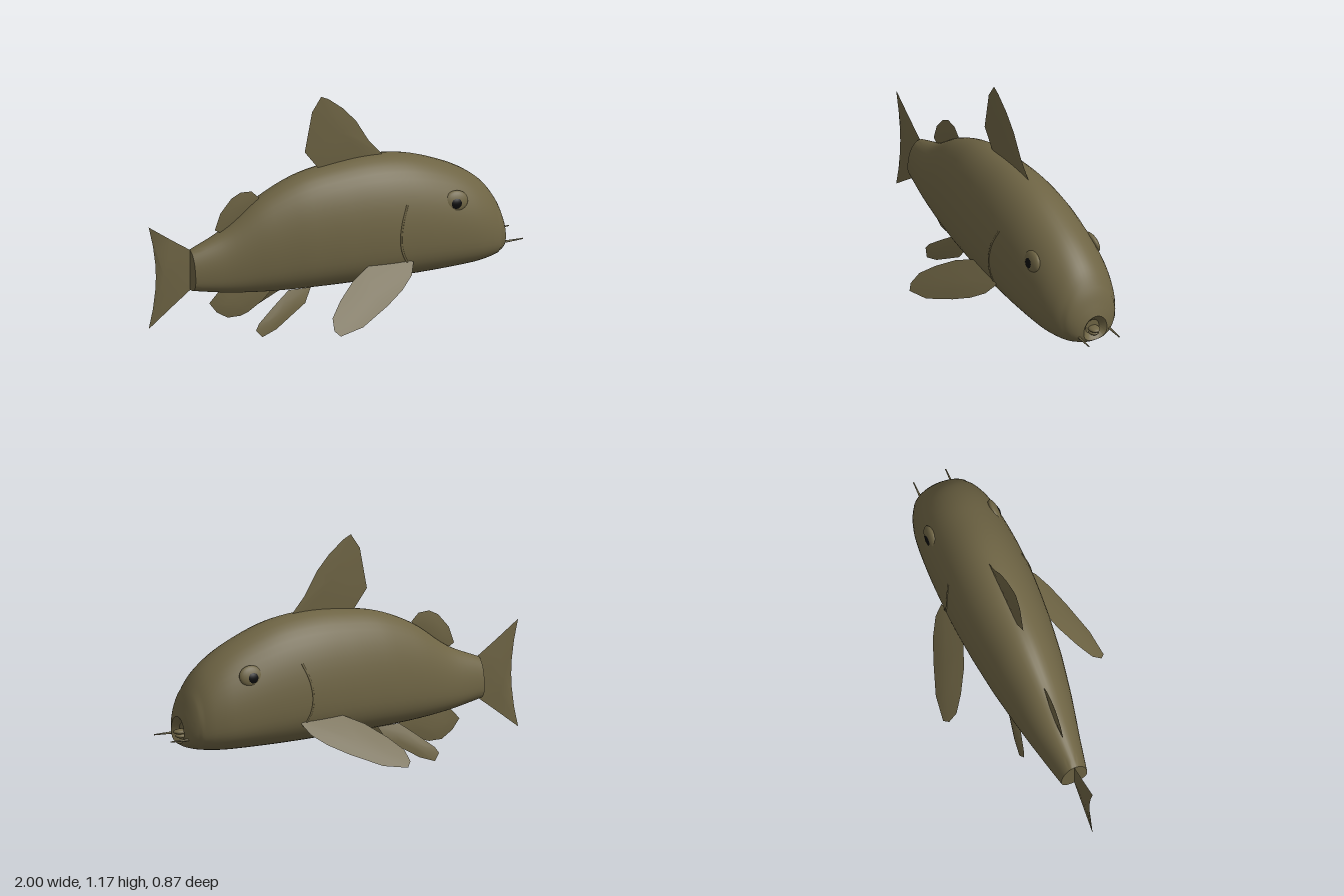
import * as THREE from 'three';
import { toCreasedNormals } from 'three/addons/utils/BufferGeometryUtils.js';

const skin = new THREE.MeshStandardMaterial({ color: 0x6e6444, side: THREE.DoubleSide });
skin.name = 'olive skin';
const black = new THREE.MeshStandardMaterial({ color: 0x0b0b0b });
black.name = 'eye black';

// Body stations: x, top, bottom, half width
const STATIONS = [
  [-0.775, 0.47, 0.26, 0.07], [-0.6, 0.545, 0.225, 0.108], [-0.4, 0.685, 0.2, 0.153],
  [-0.2, 0.77, 0.187, 0.19], [0, 0.803, 0.18, 0.215], [0.2, 0.812, 0.175, 0.23],
  [0.4, 0.785, 0.171, 0.232], [0.6, 0.71, 0.171, 0.222], [0.72, 0.642, 0.174, 0.206],
  [0.81, 0.565, 0.183, 0.177], [0.87, 0.475, 0.195, 0.138], [0.9, 0.4, 0.208, 0.1],
  [0.915, 0.355, 0.22, 0.067],
];

// Egg-shaped section: tall ellipse above, squarer curve below
function ring(x, top, bottom, width, sides) {
  const points = [];
  const mid = bottom + (top - bottom) * (x > 0.85 ? 0.42 : 0.34);
  for (let j = 0; j < sides; j++) {
    const a = (j / sides) * Math.PI * 2, c = Math.cos(a), s = Math.sin(a);
    const p = s >= 0 ? 1 : 0.8;
    const z = Math.sign(c) * Math.abs(c) ** p * width;
    const y = mid + (s >= 0 ? s * (top - mid) : -(Math.abs(s) ** p) * (mid - bottom));
    points.push([x, y, z]);
  }
  return points;
}

// Skin a list of rings and close both ends
function loft(rings) {
  const n = rings[0].length, index = [], position = rings.flat(2);
  for (let i = 0; i < rings.length - 1; i++) {
    for (let j = 0; j < n; j++) {
      const a = i * n + j, b = i * n + ((j + 1) % n);
      index.push(a, a + n, b, b, a + n, b + n);
    }
  }
  const last = (rings.length - 1) * n;
  for (let j = 1; j < n - 1; j++) {
    index.push(0, j, j + 1, last, last + j + 1, last + j);
  }
  // Start cap faces backward, end cap faces forward
  for (let k = index.length - 6 * (n - 2); k < index.length; k += 3) {
    [index[k + 1], index[k + 2]] = [index[k + 2], index[k + 1]];
  }
  const g = new THREE.BufferGeometry();
  g.setAttribute('position', new THREE.Float32BufferAttribute(position, 3));
  g.setIndex(index);
  return toCreasedNormals(g, 0.7);
}

function bodyGeometry() {
  const shape = new THREE.CatmullRomCurve3(STATIONS.map(([x, t, b]) => new THREE.Vector3(x, t, b)));
  const width = new THREE.CatmullRomCurve3(STATIONS.map(([x, t, b, w]) => new THREE.Vector3(w, t, b)));
  const rings = [];
  for (let i = 0; i <= 60; i++) {
    const p = shape.getPoint(i / 60), w = width.getPoint(i / 60).x;
    rings.push(ring(p.x, p.y, p.z, w, 48));
  }
  // Hollow of the mouth
  rings.push(ring(0.905, 0.34, 0.232, 0.055, 48), ring(0.885, 0.32, 0.248, 0.038, 48));
  return loft(rings);
}

// Thin fin: sharp outline, thicker in the middle, placed in depth by zAt(y)
function finGeometry(outline, thickness, zAt = () => 0) {
  const pts = outline.map(([x, y]) => new THREE.Vector2(x, y));
  if (THREE.ShapeUtils.isClockWise(pts)) pts.reverse();
  const n = pts.length, center = new THREE.Vector2();
  pts.forEach((p) => center.addScaledVector(p, 1 / n));
  const position = [], index = [];
  const add = (p, dz) => position.push(p.x, p.y, zAt(p.y) + dz);
  pts.forEach((p) => add(p, 0));
  for (const side of [1, -1]) {
    const start = position.length / 3;
    pts.forEach((p) => add(p.clone().lerp(center, 0.5), side * thickness * 0.8));
    add(center, side * thickness);
    for (let j = 0; j < n; j++) {
      const k = (j + 1) % n;
      const faces = [[j, k, start + k], [j, start + k, start + j], [start + j, start + k, start + n]];
      faces.forEach(([a, b, c]) => (side > 0 ? index.push(a, b, c) : index.push(a, c, b)));
    }
  }
  const g = new THREE.BufferGeometry();
  g.setAttribute('position', new THREE.Float32BufferAttribute(position, 3));
  g.setIndex(index);
  return toCreasedNormals(g, 0.6);
}

const FINS = {
  dorsalFin: [[-0.06, 0.77], [-0.15, 0.89], [-0.11, 1.1], [-0.06, 1.175], [-0.02, 1.155],
    [0.06, 1.09], [0.13, 1.01], [0.2, 0.89], [0.28, 0.795], [0.2, 0.77]],
  rearDorsalFin: [[-0.58, 0.52], [-0.64, 0.555], [-0.61, 0.64], [-0.55, 0.71], [-0.5, 0.735],
    [-0.44, 0.73], [-0.4, 0.69], [-0.45, 0.6]],
  analFin: [[-0.6, 0.24], [-0.67, 0.165], [-0.63, 0.11], [-0.57, 0.07], [-0.5, 0.068],
    [-0.46, 0.08], [-0.38, 0.13], [-0.3, 0.21]],
  tailFin: [[-0.77, 0.47], [-0.87, 0.54], [-1, 0.635], [-0.977, 0.53], [-0.964, 0.43], [-0.961, 0.36],
    [-0.964, 0.29], [-0.977, 0.19], [-1, 0.085], [-0.87, 0.185], [-0.77, 0.26]],
};
const PELVIC = [[-0.16, 0.2], [-0.2, 0.13], [-0.37, 0.03], [-0.45, 0.004], [-0.48, 0.04],
  [-0.46, 0.07], [-0.37, 0.14], [-0.28, 0.205]];
const PECTORAL = [[0.34, 0.3], [0.31, 0.25], [0.24, 0.2], [0.14, 0.15], [-0.02, 0.085], [-0.15, 0.065],
  [-0.175, 0.09], [-0.165, 0.14], [-0.1, 0.2], [0, 0.27], [0.1, 0.315], [0.31, 0.315]];

export function createModel() {
  const model = new THREE.Group();
  model.name = 'fish';
  const add = (name, geometry, material = skin) => {
    const mesh = new THREE.Mesh(geometry, material);
    mesh.name = name;
    model.add(mesh);
    return mesh;
  };
  const ball = (name, material, center, size) => {
    const mesh = add(name, new THREE.SphereGeometry(1, 24, 16), material);
    mesh.position.set(...center);
    mesh.scale.set(...size);
    return mesh;
  };

  add('body', bodyGeometry());
  for (const [name, outline] of Object.entries(FINS)) add(name, finGeometry(outline, 0.007));

  // Lips inside the mouth
  ball('upperLip', skin, [0.9, 0.277, 0], [0.037, 0.013, 0.028]);
  ball('lowerLip', skin, [0.895, 0.255, 0], [0.03, 0.012, 0.024]);

  // Paired parts
  for (const [label, side] of [['right', 1], ['left', -1]]) {
    add(label + 'PelvicFin', finGeometry(PELVIC, 0.01, (y) => side * (0.1 + (0.185 - y) * 0.3)));
    add(label + 'PectoralFin', finGeometry(PECTORAL, 0.009, (y) => side * (0.22 + (0.31 - y) * 0.88)));

    const lid = ball(label + 'Eyelid', skin, [0.595, 0.563, side * 0.174], [0.065, 0.053, 0.022]);
    lid.rotation.x = -side * 0.25;
    ball(label + 'Eye', black, [0.592, 0.55, side * 0.176], [0.043, 0.039, 0.026]);

    // Gill edge lying on the cheek
    const gill = [[0.32, 0.6, 0.198], [0.285, 0.51, 0.22], [0.272, 0.42, 0.229], [0.285, 0.35, 0.229], [0.32, 0.28, 0.217]];
    const path = new THREE.CatmullRomCurve3(gill.map(([x, y, z]) => new THREE.Vector3(x, y, side * z)));
    add(label + 'Gill', new THREE.TubeGeometry(path, 24, 0.006, 8));

    const barbel = add(label + 'Barbel', new THREE.CylinderGeometry(0.003, 0.007, 0.13, 10));
    barbel.rotation.z = -Math.PI / 2;
    barbel.position.set(0.935, 0.253, side * 0.087);
  }
  return model;
}
